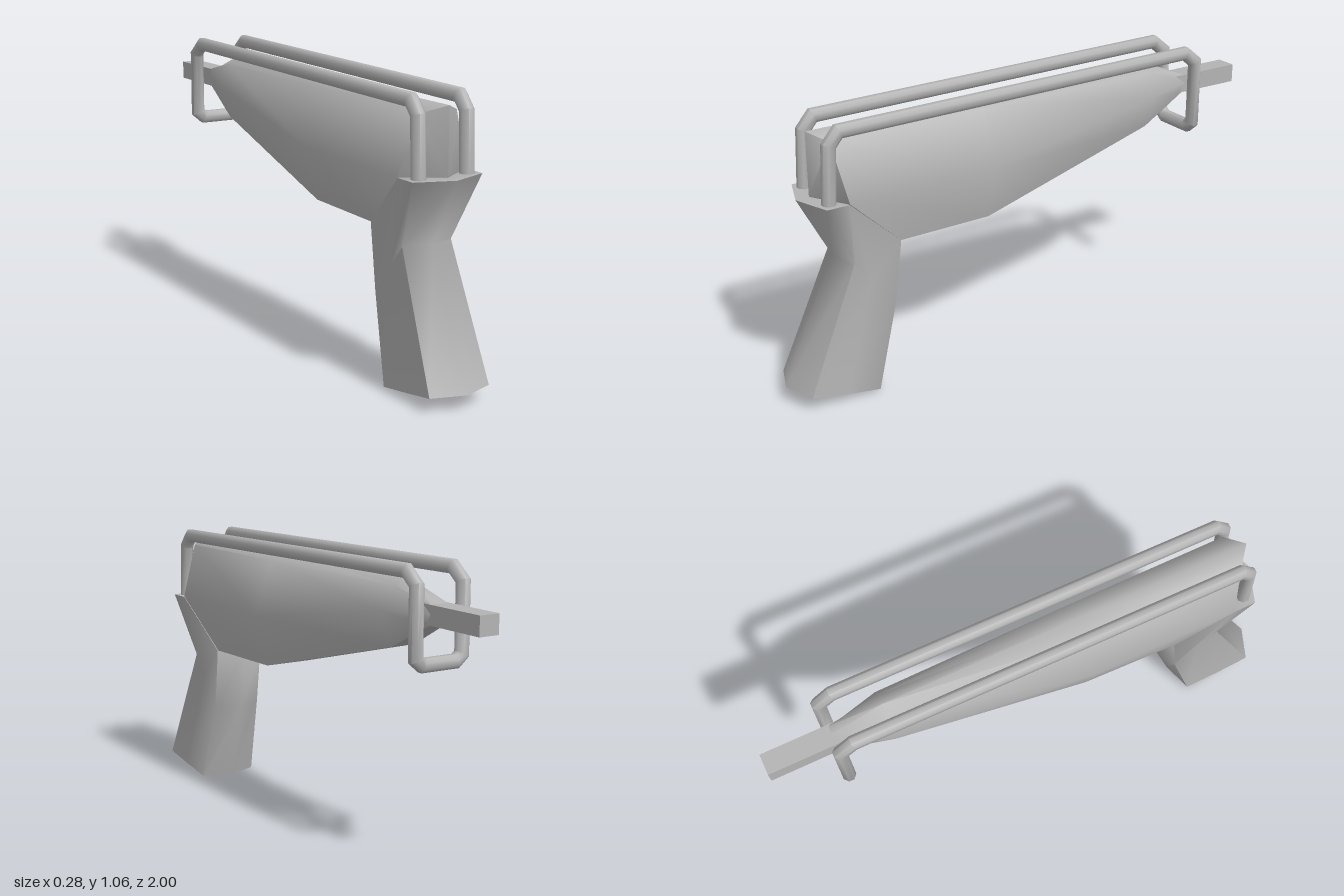
import * as THREE from 'three';
import { toCreasedNormals } from 'three/addons/utils/BufferGeometryUtils.js';

const V = (x, y, z) => new THREE.Vector3(x, y, z);

// Skin closed rings of equal length, closing both ends with a fan to a centre point
function loft(rings, crease, startCentre, endCentre) {
  const n = rings[0].length;
  const pts = rings.flat();
  const mean = (r) => r.reduce((s, p) => s.add(p), V(0, 0, 0)).divideScalar(n);
  const last = (rings.length - 1) * n;
  pts.push(startCentre || mean(rings[0]), endCentre || mean(rings[rings.length - 1]));
  const tris = [];
  for (let j = 0; j < n; j++) {
    const k = (j + 1) % n;
    for (let i = 0; i < rings.length - 1; i++) {
      const a = i * n + j, b = i * n + k;
      tris.push([a, b, b + n], [a, b + n, a + n]);
    }
    tris.push([pts.length - 2, k, j], [pts.length - 1, last + j, last + k]);
  }
  // Turn the faces outward
  let volume = 0;
  for (const [a, b, c] of tris) volume += pts[a].dot(V(0, 0, 0).crossVectors(pts[b], pts[c]));
  if (volume < 0) tris.forEach((t) => t.reverse());
  const geo = new THREE.BufferGeometry().setFromPoints(pts);
  geo.setIndex(tris.flat());
  return toCreasedNormals(geo, crease);
}

// Mirror half a section; points on x = 0 are kept once
function mirrored(half) {
  const right = half.map((p) => V(...p));
  const left = half.filter((p) => p[0] > 0).reverse().map(([x, y, z]) => V(-x, y, z));
  return [...right, ...left];
}

// Sweep a round bar along a path with mitred corners
function bar(path, radius, sides) {
  const dir = (i) => path[i + 1].clone().sub(path[i]).normalize();
  const d0 = dir(0);
  const u = V(1, 0, 0);
  const w = V(0, 0, 0).crossVectors(d0, u);
  let ring = Array.from({ length: sides }, (_, s) => {
    const a = ((s + 0.5) / sides) * Math.PI * 2;
    return path[0].clone().addScaledVector(u, radius * Math.cos(a)).addScaledVector(w, radius * Math.sin(a));
  });
  const rings = [ring];
  for (let i = 1; i < path.length; i++) {
    const d = dir(i - 1);
    const normal = i < path.length - 1 ? d.clone().add(dir(i)) : d;
    ring = ring.map((p) => {
      const t = path[i].clone().sub(p).dot(normal) / d.dot(normal);
      return p.clone().addScaledVector(d, t);
    });
    rings.push(ring);
  }
  return loft(rings, 0.95);
}

export function createModel() {
  const group = new THREE.Group();
  const grey = new THREE.MeshStandardMaterial({ color: 0xb4b4b4 });
  grey.name = 'grey';
  const add = (name, geo) => {
    const mesh = new THREE.Mesh(geo, grey);
    mesh.name = name;
    group.add(mesh);
    return mesh;
  };

  // Body: ridged top, widest at mid height, tapering to the barrel
  const bodySections = [
    [[0, 0.995, 0.865], [0.07, 0.968, 0.81], [0.14, 0.76, 0.78], [0.1, 0.56, 0.57]],
    [[0, 0.995, 0.2], [0.07, 0.968, 0.2], [0.14, 0.76, 0.2], [0.09, 0.56, 0.2]],
    [[0, 1.0, -0.55], [0.05, 0.965, -0.56], [0.095, 0.88, -0.55], [0.05, 0.75, -0.55]],
    [[0, 0.922, -0.75], [0.035, 0.92, -0.75], [0.04, 0.89, -0.75], [0.035, 0.855, -0.75]],
  ];
  add('body', loft(bodySections.map(mirrored), 1.0, V(0, 0.76, 0.865)));

  // Grip: pointed section, pinched at the waist and flared into a collar
  const gripSections = [
    [[0, 0.055, 1.0], [0.122, 0.052, 0.955], [0.122, 0.028, 0.82], [0.118, 0.004, 0.685], [0, 0, 0.65]],
    [[0, 0.52, 0.79], [0.1, 0.515, 0.755], [0.102, 0.43, 0.69], [0.1, 0.32, 0.6], [0, 0.31, 0.56]],
    [[0, 0.757, 0.915], [0.14, 0.757, 0.865], [0.14, 0.757, 0.78], [0.102, 0.56, 0.57], [0, 0.56, 0.52]],
  ];
  add('grip', loft(gripSections.map(mirrored), 1.22, null, V(0, 0.757, 0.8)));

  // Guard frame: two top rails joined by a bar under the barrel
  const side = [
    [0.74, 0.838], [0.965, 0.828], [1.01, 0.79], [1.033, -0.695], [0.99, -0.748], [0.745, -0.748],
  ].map(([y, z]) => V(0.097, y, z));
  side.push(V(0.07, 0.722, -0.748));
  const otherSide = side.map((p) => V(-p.x, p.y, p.z)).reverse();
  add('guardFrame', bar([...side, ...otherSide], 0.026, 8));

  // Barrel: plain square bar
  add('barrel', new THREE.BoxGeometry(0.08, 0.07, 0.32)).position.set(0, 0.887, -0.84);

  return group;
}
